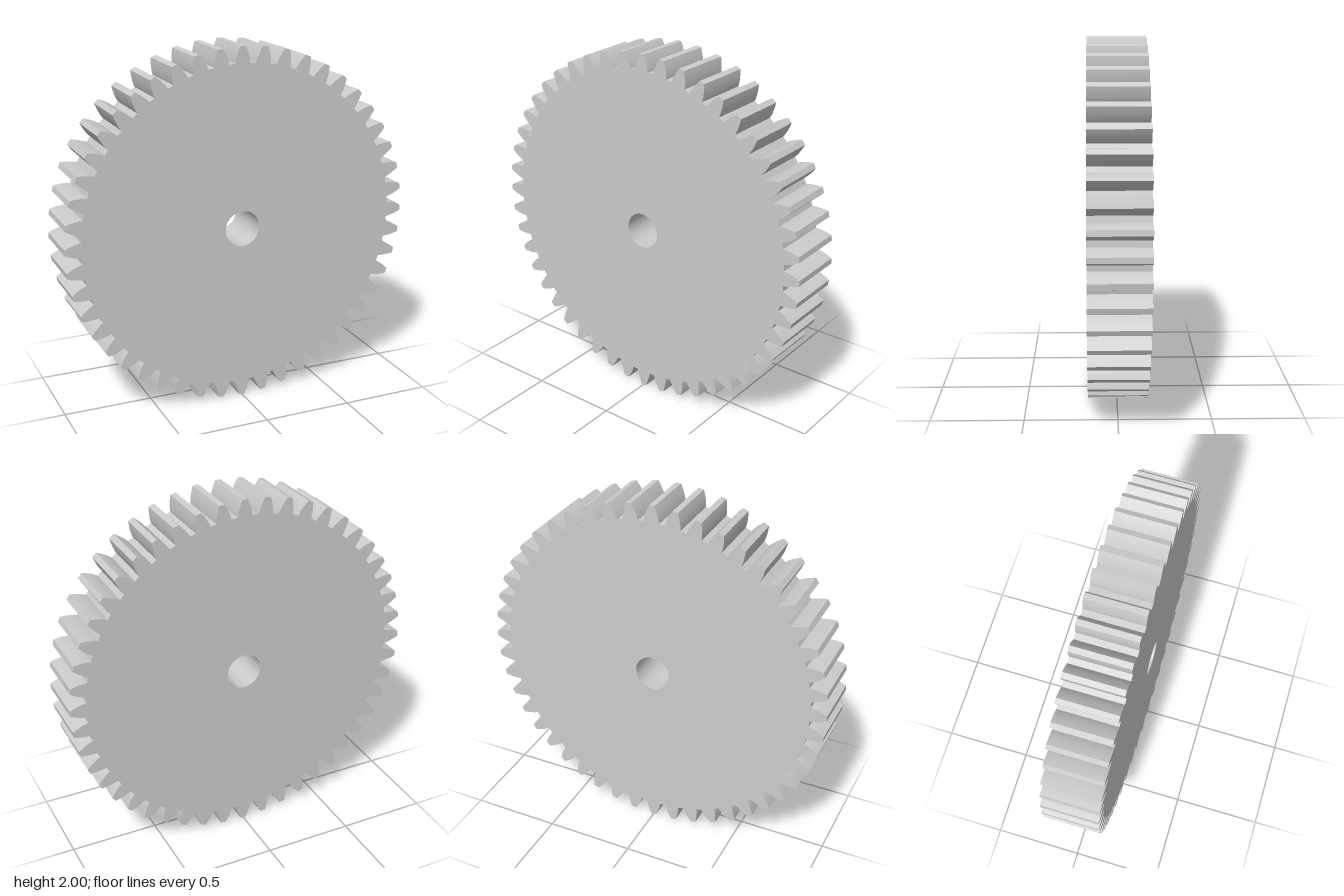
import * as THREE from 'three';
import { toCreasedNormals } from 'three/addons/utils/BufferGeometryUtils.js';

const TEETH = 48;
const TIP = 1, PITCH = 0.96, ROOT = 0.91;
const PRESSURE = THREE.MathUtils.degToRad(20);
const BASE = PITCH * Math.cos(PRESSURE);
const BORE = 0.1, THICKNESS = 0.32;

const involute = (a) => Math.tan(a) - a;

// Half the angle a tooth spans at radius r, for an involute flank
const halfAngle = (r) =>
  Math.PI / (2 * TEETH) + involute(PRESSURE) - involute(Math.acos(BASE / r));

// Spur gear outline, with the round shaft hole
function gearShape() {
  const points = [];
  const add = (r, angle) => points.push(new THREE.Vector2(r * Math.cos(angle), r * Math.sin(angle)));
  const steps = 6;
  for (let t = 0; t < TEETH; t++) {
    const mid = (t / TEETH) * Math.PI * 2;
    for (let i = 0; i <= steps; i++) {
      const r = ROOT + (TIP - ROOT) * (i / steps);
      add(r, mid - halfAngle(r));
    }
    add(TIP, mid);
    for (let i = steps; i >= 0; i--) {
      const r = ROOT + (TIP - ROOT) * (i / steps);
      add(r, mid + halfAngle(r));
    }
  }
  const shape = new THREE.Shape(points);
  shape.holes.push(new THREE.Path().absarc(0, 0, BORE, 0, Math.PI * 2, true));
  return shape;
}

export function createModel() {
  const group = new THREE.Group();
  group.name = 'spurGear';

  // Toothed wheel, standing upright with its axis along z
  const geometry = new THREE.ExtrudeGeometry(gearShape(), {
    depth: THICKNESS, bevelEnabled: false, curveSegments: 32,
  });
  geometry.translate(0, TIP, -THICKNESS / 2);
  const wheel = new THREE.Mesh(
    toCreasedNormals(geometry, 0.4),
    new THREE.MeshStandardMaterial({ color: 0xcccccc }),
  );
  wheel.name = 'toothedWheel';
  group.add(wheel);
  return group;
}
